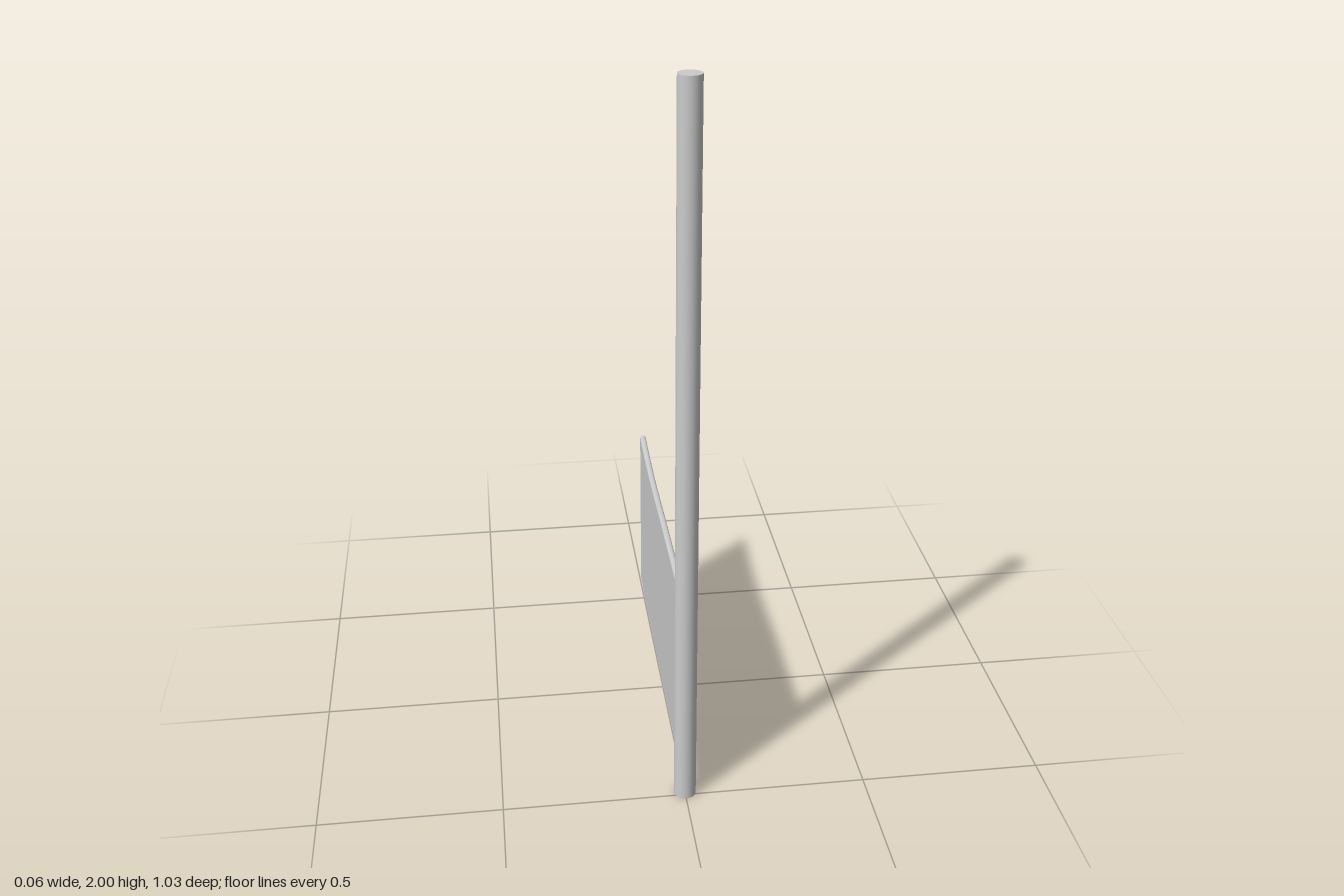
import * as THREE from 'three';

export function createModel() {
  const group = new THREE.Group();
  const material = new THREE.MeshStandardMaterial({ color: 0xcccccc });

  // Upright round pole at the front
  const pole = new THREE.Mesh(new THREE.CylinderGeometry(0.03, 0.03, 2, 32), material);
  pole.name = 'pole';
  pole.position.set(0, 1, 0.487);
  group.add(pole);

  // Thin flag with gently waved edges, drawn as (-z, y) and softened by a bevel
  const bevel = 0.007;
  const edge = (points) => points.map(([x, y]) => new THREE.Vector2(x, y));
  const outline = new THREE.Shape();
  outline.moveTo(-0.47, 0.066);
  outline.splineThru(edge([[-0.2, 0.065], [0, 0.063], [0.2, 0.059], [0.36, 0.064], [0.508, 0.077]]));
  outline.lineTo(0.508, 0.593);
  outline.splineThru(edge([[0.36, 0.58], [0.2, 0.576], [0, 0.582], [-0.2, 0.585], [-0.47, 0.587]]));
  outline.closePath();

  const flagGeometry = new THREE.ExtrudeGeometry(outline, {
    depth: 0.004,
    bevelEnabled: true,
    bevelSize: bevel,
    bevelThickness: bevel,
    bevelSegments: 3,
    curveSegments: 6,
  });
  flagGeometry.translate(0, 0, -0.002);
  flagGeometry.rotateY(Math.PI / 2);
  const flag = new THREE.Mesh(flagGeometry, material);
  flag.name = 'flag';
  group.add(flag);

  return group;
}
